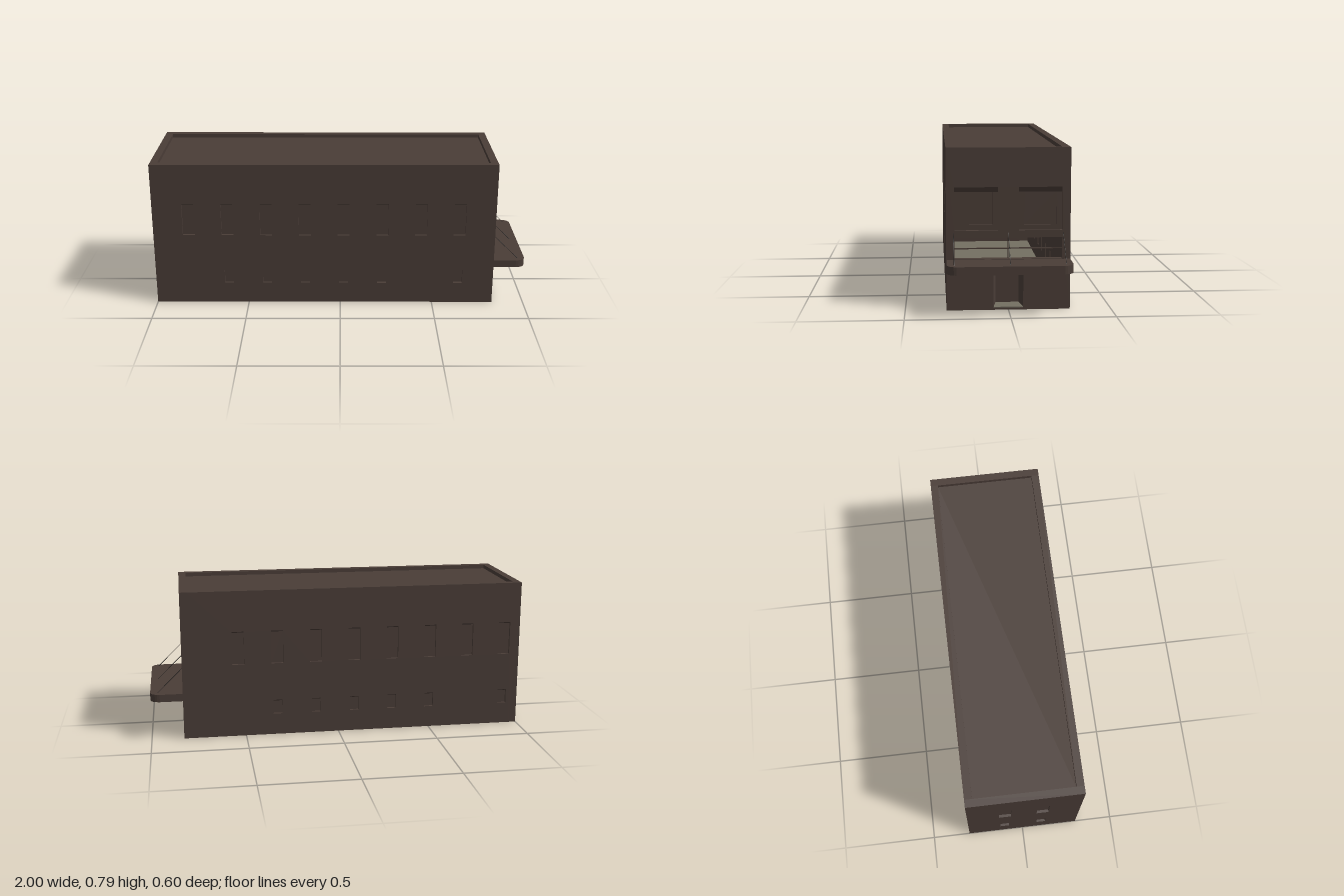
import * as THREE from 'three';

const T = 0.04, H = 0.79; // wall thickness and height
const LEN = 1.83, MID = -0.085, HALF = 0.3;

export function createModel() {
  const root = new THREE.Group();
  root.name = 'building';
  const mat = (name, color) => {
    const m = new THREE.MeshStandardMaterial({ color });
    m.name = name;
    return m;
  };
  const brown = mat('brown masonry', 0x4a3d37);
  const beige = mat('beige floor', 0x747062);
  const dark = mat('dark cable', 0x2b2826);

  const add = (parent, name, geo, material, x = 0, y = 0, z = 0) => {
    const m = new THREE.Mesh(geo, material);
    m.name = name;
    m.position.set(x, y, z);
    parent.add(m);
    return m;
  };
  const box = (parent, name, w, h, d, material, x, y, z) =>
    add(parent, name, new THREE.BoxGeometry(w, h, d), material, x, y, z);
  const rect = (Type, x0, y0, x1, y1) => new Type([
    [x0, y0], [x1, y0], [x1, y1], [x0, y1]].map(p => new THREE.Vector2(...p)));
  const extrude = (shape, depth) =>
    new THREE.ExtrudeGeometry(shape, { depth, bevelEnabled: false, curveSegments: 6 });

  // Wall in its own frame: outer face at z = 0, holes are [x0, y0, x1, y1]
  const wall = (name, width, holes) => {
    const g = new THREE.Group();
    g.name = name;
    const s = rect(THREE.Shape, -width / 2, 0, width / 2, H);
    holes.forEach(h => s.holes.push(rect(THREE.Path, ...h)));
    add(g, name + 'Panel', extrude(s, T), brown, 0, 0, -T);
    root.add(g);
    return g;
  };

  // Sloping soffit at the head of a window recess
  const soffit = (g, [x0, , x1, y1], drop, depth) => {
    const s = new THREE.Shape([[0, 0], [depth, -drop], [depth, 0]].map(p => new THREE.Vector2(...p)));
    const geo = extrude(s, x1 - x0);
    geo.rotateY(Math.PI / 2);
    add(g, 'windowSoffit', geo, brown, x0, y1, 0);
  };
  const pane = (g, [x0, y0, x1, y1], depth) =>
    box(g, 'windowPane', x1 - x0, y1 - y0, 0.01, brown, (x0 + x1) / 2, (y0 + y1) / 2, -depth - 0.005);
  const recess = (g, h) => {
    pane(g, h, 0.014);
    soffit(g, h, 0.008, 0.014);
  };
  const upper = x => [x - 0.032, 0.395, x + 0.032, 0.573];
  const lower = x => [x - 0.024, 0.115, x + 0.024, 0.192];

  // Long walls: eight tall windows over six small ones
  for (const [name, start, turn] of [['frontWall', -0.725, 0], ['backWall', -0.62, Math.PI]]) {
    const holes = [];
    for (let i = 0; i < 8; i++) {
      const x = start + i * 0.207;
      holes.push(upper(x));
      if (i !== 0 && i !== 6) holes.push(lower(x));
    }
    const g = wall(name, LEN - 2 * T, holes);
    holes.forEach(h => recess(g, h));
    g.rotation.y = turn;
    g.position.set(MID, 0, turn ? -HALF : HALF);
  }

  // Plain end wall
  const endHoles = [-0.1, 0.1].flatMap(x => [upper(x), lower(x)]);
  const end = wall('plainEndWall', 2 * HALF, endHoles);
  endHoles.forEach(h => recess(end, h));
  end.rotation.y = -Math.PI / 2;
  end.position.x = -1;

  // Entrance end wall: two big windows, a transom opening and a doorway
  const big = [[-0.26, 0.39, -0.05, 0.6], [0.05, 0.39, 0.26, 0.6]];
  const entry = wall('entranceWall', 2 * HALF,
    [...big, [-0.26, 0.25, 0.26, 0.355], [-0.072, 0.01, 0.072, 0.207]]);
  entry.rotation.y = Math.PI / 2;
  entry.position.x = 0.83;
  for (const h of big) {
    const inner = [h[0] + 0.027, 0.415, h[2] - 0.027, 0.575];
    const frame = rect(THREE.Shape, ...h);
    frame.holes.push(rect(THREE.Path, ...inner));
    add(entry, 'windowFrame', extrude(frame, 0.012), brown, 0, 0, -0.03);
    pane(entry, inner, 0.028);
    soffit(entry, h, 0.025, 0.018);
  }
  box(entry, 'transomBar', 0.52, 0.005, 0.01, brown, 0, 0.3, -0.02);
  box(entry, 'transomMullion', 0.004, 0.105, 0.01, brown, 0, 0.3025, -0.02);

  // Splayed doorway with the door set back
  for (const s of [-1, 1]) {
    const jamb = new THREE.Shape([[0.072, 0], [0.057, 0.1], [0.08, 0.1], [0.08, 0]]
      .map(([x, y]) => new THREE.Vector2(s * x, y)));
    const geo = extrude(jamb, 0.197);
    geo.rotateX(-Math.PI / 2);
    add(entry, 'doorJamb', geo, brown, 0, 0.01, -0.002);
  }
  box(entry, 'door', 0.13, 0.2, 0.01, brown, 0, 0.11, -0.105);
  box(entry, 'doorwayCeiling', 0.15, 0.008, 0.1, brown, 0, 0.206, -0.052);
  box(entry, 'doorwayFloor', 0.142, 0.006, 0.1, beige, 0, 0.011, -0.052);

  // Ground floor slab and sunken flat roof
  box(root, 'floor', LEN - 2 * T, 0.008, 2 * HALF - 2 * T, beige, MID, 0.009, 0);
  box(root, 'roof', LEN - 2 * T, 0.02, 2 * HALF - 2 * T, brown, MID, 0.76, 0);

  // Canopy with rounded outer corners
  const c = new THREE.Shape();
  c.moveTo(0.83, -0.3);
  c.lineTo(0.95, -0.3);
  c.quadraticCurveTo(0.995, -0.295, 1, -0.255);
  c.lineTo(1, 0.255);
  c.quadraticCurveTo(0.995, 0.295, 0.95, 0.3);
  c.lineTo(0.83, 0.3);
  const canopy = extrude(c, 0.04);
  canopy.rotateX(-Math.PI / 2);
  add(root, 'canopy', canopy, brown, 0, 0.208, 0);

  // Three stay cables
  for (const z of [-0.265, 0, 0.265]) {
    const line = new THREE.LineCurve3(new THREE.Vector3(0.828, 0.38, z), new THREE.Vector3(0.965, 0.245, z));
    add(root, 'canopyCable', new THREE.TubeGeometry(line, 1, 0.0015, 6), dark);
  }
  return root;
}
